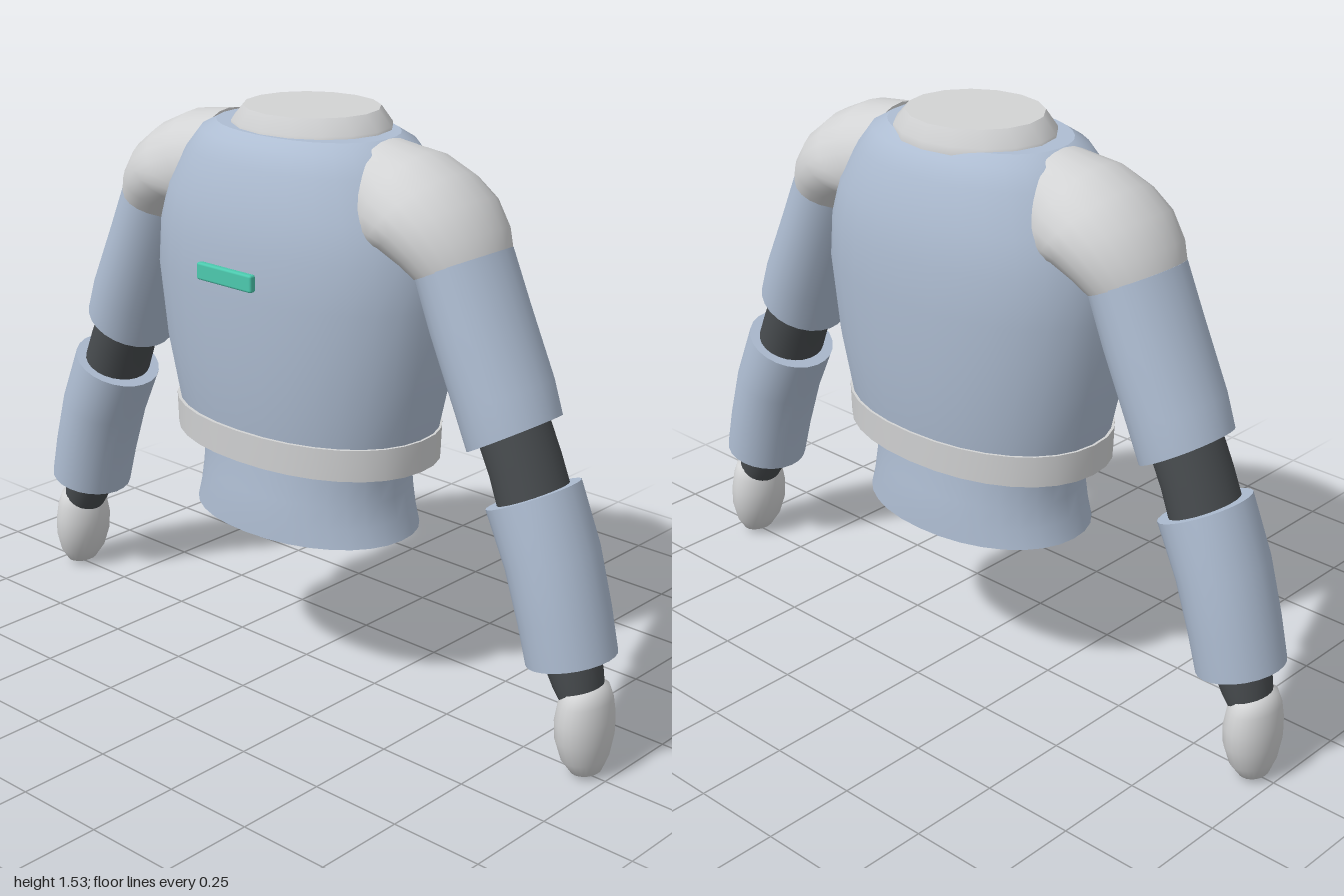
import * as THREE from 'three';
import { RoundedBoxGeometry } from 'three/addons/geometries/RoundedBoxGeometry.js';

// Skin over elliptical rings listed from bottom to top, closed with flat caps.
// Ring: [x, y, z, tilt about z, half width, half depth]; power above 2 squares the ellipse.
function loft(rings, sides = 24, power = 2) {
  const pos = [], index = [], n = rings.length;
  const bulge = v => Math.sign(v) * Math.abs(v) ** (2 / power);
  const addRing = ([x, y, z, tilt, rx, rz]) => {
    for (let j = 0; j < sides; j++) {
      const t = (j / sides) * Math.PI * 2;
      const u = bulge(Math.cos(t)) * rx;
      pos.push(x + u * Math.cos(tilt), y + u * Math.sin(tilt), z + bulge(Math.sin(t)) * rz);
    }
  };
  rings.forEach(addRing);
  for (let i = 0; i < n - 1; i++) {
    for (let j = 0; j < sides; j++) {
      const k = (j + 1) % sides;
      const a = i * sides + j, b = i * sides + k;
      index.push(a, a + sides, b, b, a + sides, b + sides);
    }
  }
  // Caps own their vertices so the rims stay sharp
  [rings[0], rings[n - 1]].forEach((ring, top) => {
    const base = pos.length / 3;
    addRing(ring);
    pos.push(ring[0], ring[1], ring[2]);
    for (let j = 0; j < sides; j++) {
      const a = base + j, b = base + ((j + 1) % sides);
      index.push(base + sides, top ? b : a, top ? a : b);
    }
  });
  const geo = new THREE.BufferGeometry();
  geo.setAttribute('position', new THREE.Float32BufferAttribute(pos, 3));
  geo.setIndex(index);
  geo.computeVertexNormals();
  return geo;
}

export function createModel() {
  const material = (name, color) => {
    const m = new THREE.MeshStandardMaterial({ color });
    m.name = name;
    return m;
  };
  const blue = material('blue grey', 0xaebdd2);
  const pale = material('pale grey', 0xd2d3d4);
  const dark = material('dark joint', 0x474b4e);
  const green = material('green light', 0x4cc9ae);

  const model = new THREE.Group();
  model.name = 'armouredTorso';
  const add = (parent, name, geo, mat) => {
    const mesh = new THREE.Mesh(geo, mat);
    mesh.name = name;
    parent.add(mesh);
    return mesh;
  };
  // Upright ring: height, half width, half depth, z offset
  const level = ([y, rx, rz, z = 0]) => [0, y, z, 0, rx, rz];

  // Body
  add(model, 'chest', loft([
    [0.69, 0.375, 0.25], [0.74, 0.39, 0.26], [0.9, 0.425, 0.28], [1.1, 0.45, 0.291],
    [1.22, 0.44, 0.288], [1.32, 0.41, 0.275], [1.42, 0.35, 0.243], [1.47, 0.31, 0.213],
    [1.493, 0.265, 0.18],
  ].map(r => level([...r, -0.004])), 32, 2.15), blue);
  add(model, 'belt', loft([[0.655, 0.395, 0.264], [0.74, 0.397, 0.268]]
    .map(r => level([...r, -0.003])), 32, 2.15), pale);
  add(model, 'waist', loft([
    [0.448, 0.335, 0.235], [0.5, 0.318, 0.234], [0.56, 0.308, 0.23], [0.63, 0.308, 0.222],
    [0.7, 0.32, 0.22],
  ].map(r => level([...r, -0.003])), 32, 2.1), blue);

  // Collar with a slanted rim and a closed top
  add(model, 'collar', loft([[1.48, 0.222, 0.19, -0.02], [1.5, 0.22, 0.188, -0.02],
    [1.54, 0.182, 0.168, -0.02]].map(level), 16), pale);

  // Chest light
  const light = add(model, 'chestLight', new RoundedBoxGeometry(0.19, 0.045, 0.02, 2, 0.006), green);
  light.position.set(-0.003, 1.153, 0.291);

  // Arm sections for the +x side: [x, y, tilt, half width, half depth]
  const armParts = [
    ['shoulder', pale, [
      [0.515, 1.225, 0.42, 0.107, 0.146], [0.485, 1.265, 0.46, 0.122, 0.166],
      [0.432, 1.31, 0.58, 0.14, 0.181], [0.385, 1.33, 0.85, 0.147, 0.18],
      [0.335, 1.345, 1.15, 0.148, 0.17], [0.26, 1.36, 1.45, 0.138, 0.14]]],
    ['upperArm', blue, [
      [0.685, 0.835, 0.52, 0.12, 0.13], [0.65, 0.925, 0.44, 0.118, 0.138],
      [0.57, 1.1, 0.41, 0.112, 0.144], [0.515, 1.23, 0.43, 0.107, 0.146]]],
    ['elbow', dark, [
      [0.765, 0.65, 0.4, 0.088, 0.1], [0.72, 0.765, 0.45, 0.085, 0.1],
      [0.67, 0.87, 0.48, 0.085, 0.1]]],
    ['forearm', blue, [
      [0.882, 0.303, 0.24, 0.112, 0.118], [0.855, 0.41, 0.27, 0.112, 0.123],
      [0.812, 0.55, 0.34, 0.114, 0.127], [0.748, 0.695, 0.44, 0.119, 0.126]]],
    ['wrist', dark, [
      [0.925, 0.2, 0.5, 0.05, 0.06], [0.905, 0.25, 0.45, 0.062, 0.07],
      [0.875, 0.325, 0.25, 0.075, 0.076]]],
    ['hand', pale, [
      [0.942, 0.006, 0, 0.015, 0.02], [0.94, 0.018, 0, 0.036, 0.046],
      [0.935, 0.055, 0.02, 0.054, 0.072], [0.931, 0.11, 0.04, 0.066, 0.088],
      [0.929, 0.16, 0.06, 0.067, 0.089], [0.929, 0.205, 0.1, 0.061, 0.081],
      [0.93, 0.236, 0.14, 0.05, 0.068], [0.93, 0.246, 0.15, 0.03, 0.04]]],
  ];
  for (const side of [1, -1]) {
    const arm = new THREE.Group();
    arm.name = side > 0 ? 'leftArm' : 'rightArm';
    for (const [name, mat, rings] of armParts) {
      add(arm, name, loft(rings.map(([x, y, tilt, rx, rz]) =>
        [side * x, y, -0.002, side * tilt, rx, rz])), mat);
    }
    model.add(arm);
  }
  return model;
}
